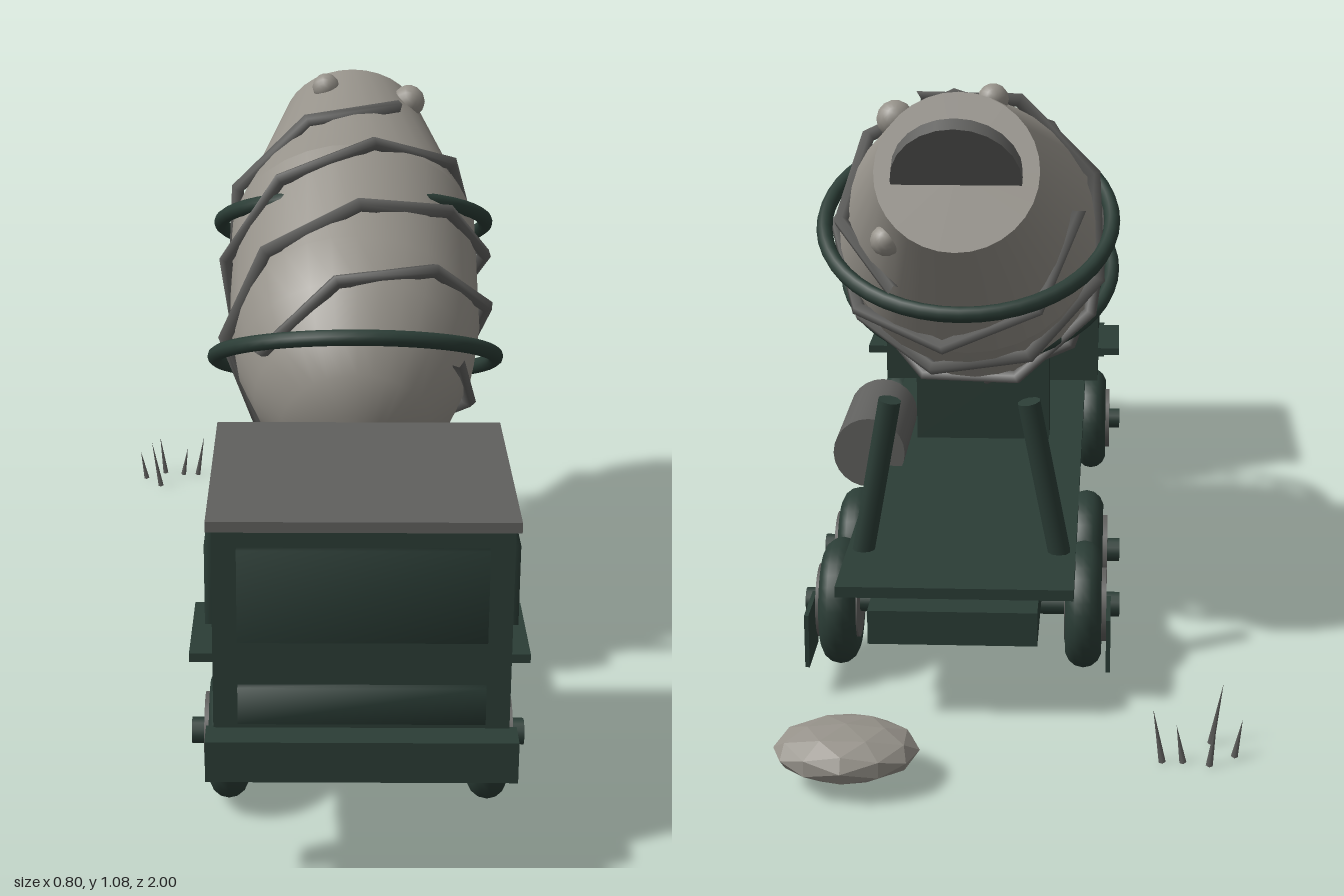
import * as THREE from 'three';
import { mergeVertices } from 'three/addons/utils/BufferGeometryUtils.js';

const material = (name, color) => {
  const m = new THREE.MeshStandardMaterial({ color });
  m.name = name;
  return m;
};

export function createModel() {
  const green = material('darkGreen', 0x2b3d36);
  const stone = material('warmGrey', 0x96928a);
  const steel = material('steelGrey', 0x60605e);
  const flatStone = material('rockGrey', 0x96928a);
  flatStone.flatShading = true;

  const model = new THREE.Group();
  model.name = 'mixerTruckScene';
  const truck = new THREE.Group();
  truck.name = 'mixerTruck';
  truck.position.x = 0.103;
  model.add(truck);

  const add = (parent, name, geometry, mat, x = 0, y = 0, z = 0) => {
    const mesh = new THREE.Mesh(geometry, mat);
    mesh.name = name;
    mesh.position.set(x, y, z);
    parent.add(mesh);
    return mesh;
  };
  // Box given by its limits on each axis
  const box = (name, [x0, x1], [y0, y1], [z0, z1], mat, soft = false) => {
    let g = new THREE.BoxGeometry(x1 - x0, y1 - y0, z1 - z0);
    if (soft) {
      g.deleteAttribute('normal');
      g.deleteAttribute('uv');
      g = mergeVertices(g);
      g.computeVertexNormals();
    }
    return add(truck, name, g, mat, (x0 + x1) / 2, (y0 + y1) / 2, (z0 + z1) / 2);
  };
  // Cylinder between two points
  const rod = (name, a, b, r, mat, sides = 16) => {
    const p = new THREE.Vector3(...a), q = new THREE.Vector3(...b);
    const mesh = add(truck, name, new THREE.CylinderGeometry(r, r, p.distanceTo(q), sides), mat);
    mesh.position.copy(p).add(q).multiplyScalar(0.5);
    mesh.quaternion.setFromUnitVectors(new THREE.Vector3(0, 1, 0), q.sub(p).normalize());
    return mesh;
  };

  // Chassis and cab
  box('frame', [-0.148, 0.148], [0.15, 0.212], [-0.685, 0.85], green);
  box('deck', [-0.21, 0.21], [0.217, 0.237], [-0.64, 0.77], green);
  box('cab', [-0.24, 0.24], [0.265, 0.617], [0.53, 0.95], green);
  box('roof', [-0.248, 0.248], [0.622, 0.64], [0.522, 0.965], steel);
  box('bumper', [-0.252, 0.252], [0.2, 0.272], [0.945, 1.0], green);
  box('windshield', [-0.2, 0.2], [0.43, 0.59], [0.94, 0.963], green, true);
  box('grille', [-0.2, 0.2], [0.285, 0.35], [0.94, 0.963], green, true);
  box('drumPedestal', [-0.14, 0.14], [0.237, 0.44], [0.19, 0.263], green);
  rod('waterTank', [0.222, 0.264, 0.005], [0.222, 0.264, 0.285], 0.073, steel, 24);

  for (const s of [-1, 1]) {
    const span = (a, b) => (s > 0 ? [a, b] : [-b, -a]);
    box('sideWindow', span(0.23, 0.254), [0.43, 0.57], [0.65, 0.895], green, true);
    box('doorStep', span(0.235, 0.288), [0.308, 0.324], [0.59, 0.79], green);
    box('mudFlap', span(0.267, 0.275), [0.055, 0.155], [-0.58, -0.465], green);
    rod('rearPost', [s * 0.18, 0.235, -0.455], [s * 0.125, 0.53, -0.475], 0.021, green, 10);
  }

  // Axles and wheels
  for (const z of [0.69, -0.155, -0.43]) {
    const y = 0.124;
    rod('axle', [-0.29, y, z], [0.29, y, z], 0.02, green, 12);
    for (const s of [-1, 1]) {
      const tire = add(truck, 'tire', new THREE.TorusGeometry(0.083, 0.034, 14, 32), green, s * 0.225, y, z);
      tire.rotation.y = Math.PI / 2;
      rod('rim', [s * 0.19, y, z], [s * 0.267, y, z], 0.068, steel, 24);
      rod('hub', [s * 0.26, y, z], [s * 0.291, y, z], 0.023, green, 12);
    }
  }

  // Drum: local y runs down its axis from the mouth to the rounded front
  const tilt = 2.051, mouthY = 0.95, mouthZ = -0.49;
  const drum = new THREE.Group();
  drum.name = 'drum';
  drum.position.set(0, mouthY, mouthZ);
  drum.rotation.x = tilt;
  truck.add(drum);
  const profile = [[0, 0.145], [0.36, 0.248], [0.62, 0.244], [0.72, 0.228],
    [0.81, 0.193], [0.88, 0.142], [0.92, 0.075], [0.935, 0]];
  const drumRadius = (s) => {
    let i = 1;
    while (i < profile.length - 1 && profile[i][0] < s) i++;
    const [s0, r0] = profile[i - 1], [s1, r1] = profile[i];
    return r0 + ((r1 - r0) * (s - s0)) / (s1 - s0);
  };
  const shells = { mouthCap: [[0, 0], profile[0]], drumCone: profile.slice(0, 2), drumBody: profile.slice(1) };
  for (const [name, points] of Object.entries(shells)) {
    const outline = points.map(([s, r]) => new THREE.Vector2(r, s));
    add(drum, name, new THREE.LatheGeometry(outline, 32), stone);
  }
  const onDrum = (s, degrees, lift) => {
    const a = THREE.MathUtils.degToRad(degrees), r = drumRadius(s) + lift;
    return new THREE.Vector3(r * Math.sin(a), s, -r * Math.cos(a));
  };

  // Three angular ribs winding round the drum
  class Spiral extends THREE.Curve {
    constructor(start) {
      super();
      this.start = start;
    }
    getPoint(t, target = new THREE.Vector3()) {
      return target.copy(onDrum(0.18 + 0.62 * t, this.start - 442 * t, 0.016));
    }
  }
  for (const start of [25, 145, 265]) {
    add(drum, 'spiralRib', new THREE.TubeGeometry(new Spiral(start), 10, 0.014, 5), steel);
  }

  // Knobs near the mouth
  for (const [angle, r] of [[-20, 0.028], [45, 0.034], [130, 0.028]]) {
    add(drum, 'knob', new THREE.SphereGeometry(r, 14, 10), stone).position.copy(onDrum(0.07, angle, 0));
  }

  // Tilted hoops through the drum and the disc in its mouth
  for (const s of [0.32, 0.7]) {
    const hoop = add(truck, 'drumHoop', new THREE.TorusGeometry(0.27, 0.015, 10, 48), green,
      0, mouthY + s * Math.cos(tilt), mouthZ + s * Math.sin(tilt));
    hoop.rotation.x = 1.109;
  }
  const disc = add(truck, 'mouthDisc', new THREE.CylinderGeometry(0.115, 0.115, 0.03, 24), steel, 0, 0.943, -0.492);
  disc.rotation.x = 1.07;

  // Rock and grass behind the truck
  const rock = add(model, 'rock', new THREE.IcosahedronGeometry(1, 1), flatStone, 0.263, 0.06, -0.905);
  rock.scale.set(0.122, 0.045, 0.095);

  const blades = [ // base x, base z, lean in x, height
    [-0.385, -0.79, -0.013, 0.07], [-0.347, -0.742, -0.02, 0.115], [-0.341, -0.825, -0.012, 0.095],
    [-0.297, -0.815, 0.012, 0.07], [-0.262, -0.815, 0.017, 0.1]];
  for (const [x, z, lean, h] of blades) {
    const g = new THREE.ConeGeometry(0.006, h, 4);
    g.translate(0, h / 2, 0);
    add(model, 'grassBlade', g, steel, x, 0, z).rotation.z = -Math.atan2(lean, h);
  }
  return model;
}
